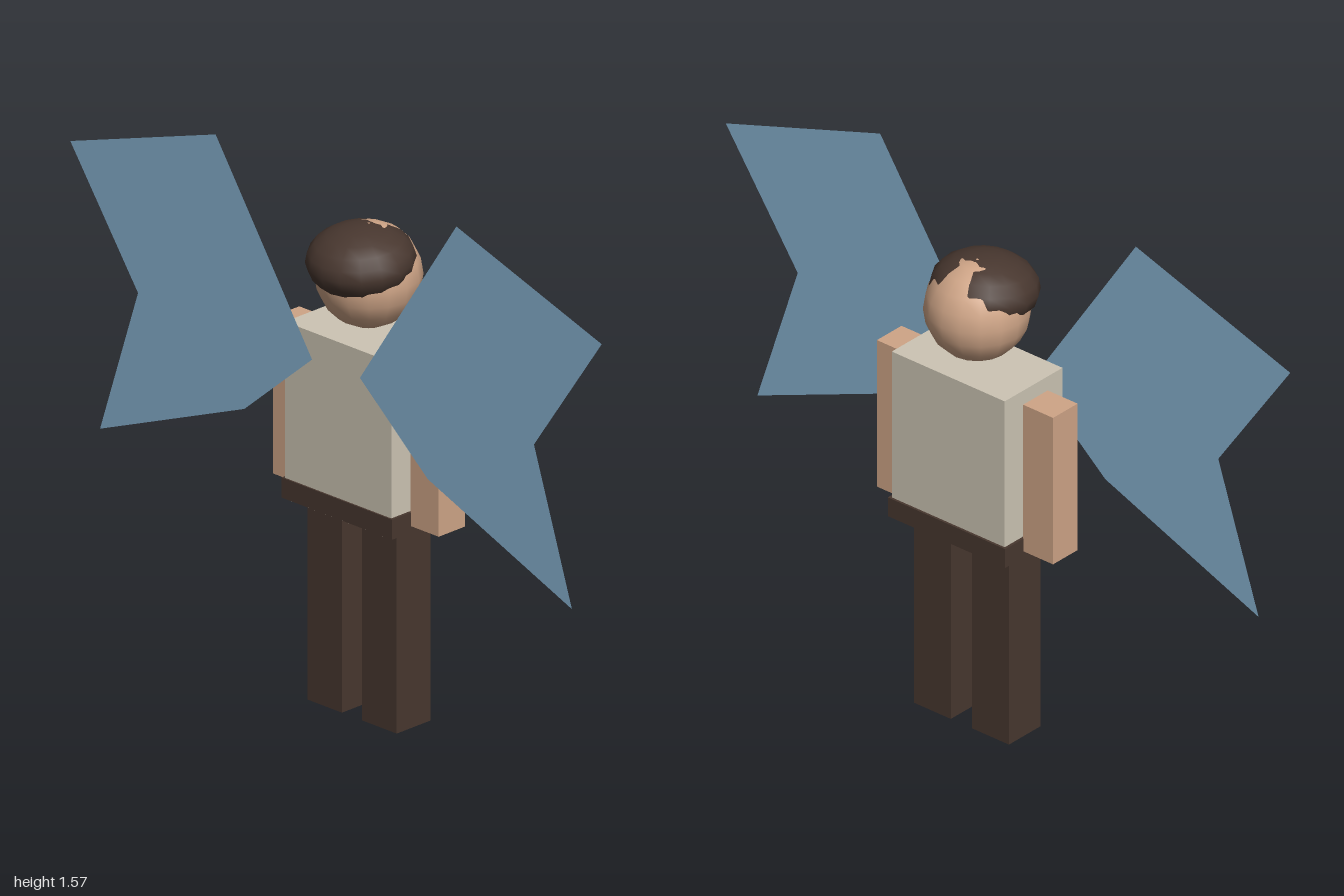
import * as THREE from 'three';

export function createModel() {
  const model = new THREE.Group();
  model.name = 'wingedFigure';

  const material = (name, color) => {
    const m = new THREE.MeshStandardMaterial({ color });
    m.name = name;
    return m;
  };
  const skin = material('skin', 0xcfa587);
  const shirt = material('shirt', 0xcdc5b4);
  const brown = material('darkBrown', 0x48372f);
  const blue = material('wingBlue', 0x86b0ce);
  blue.side = THREE.DoubleSide;

  const add = (name, geometry, mat) => {
    const mesh = new THREE.Mesh(geometry, mat);
    mesh.name = name;
    model.add(mesh);
    return mesh;
  };
  // Box given by its lower and upper limits on each axis
  const box = (name, [x0, x1], [y0, y1], [z0, z1], mat) =>
    add(name, new THREE.BoxGeometry(x1 - x0, y1 - y0, z1 - z0), mat)
      .position.set((x0 + x1) / 2, (y0 + y1) / 2, (z0 + z1) / 2);
  // Squashed smooth ball
  const ball = (name, [rx, ry, rz], [x, y, z], mat) => {
    const mesh = add(name, new THREE.SphereGeometry(1, 16, 10), mat);
    mesh.scale.set(rx, ry, rz);
    mesh.position.set(x, y, z);
    return mesh;
  };

  // Torso, its underside showing inside the belt
  box('torso', [-0.2, 0.2], [0.587, 1.1], [-0.135, 0.1], shirt);
  box('belt', [-0.208, 0.208], [0.59, 0.648], [-0.142, 0.105], brown);

  // Floating head with a cap of hair
  ball('head', [0.146, 0.147, 0.147], [0, 1.264, -0.016], skin);
  ball('hair', [0.151, 0.096, 0.149], [0, 1.315, 0.014], brown).rotation.x = 0.1;

  // Wing outline, from the inner tip round the top
  const outline = [[0.09, 1.025], [0.453, 1.57], [1, 1.39], [0.745, 1.025], [0.888, 0.59], [0.345, 0.807]];

  for (const [side, s] of [['left', 1], ['right', -1]]) {
    const span = (a, b) => (s > 0 ? [a, b] : [-b, -a]);
    box(side + 'Arm', span(0.206, 0.312), [0.608, 1.062], [-0.067, 0.033], skin);
    box(side + 'Leg', span(0.038, 0.168), [0, 0.59], [-0.081, 0.047], brown);
    const shape = new THREE.Shape(outline.map(([x, y]) => new THREE.Vector2(s * x, y)));
    add(side + 'Wing', new THREE.ShapeGeometry(shape), blue).position.z = 0.108;
  }
  return model;
}
